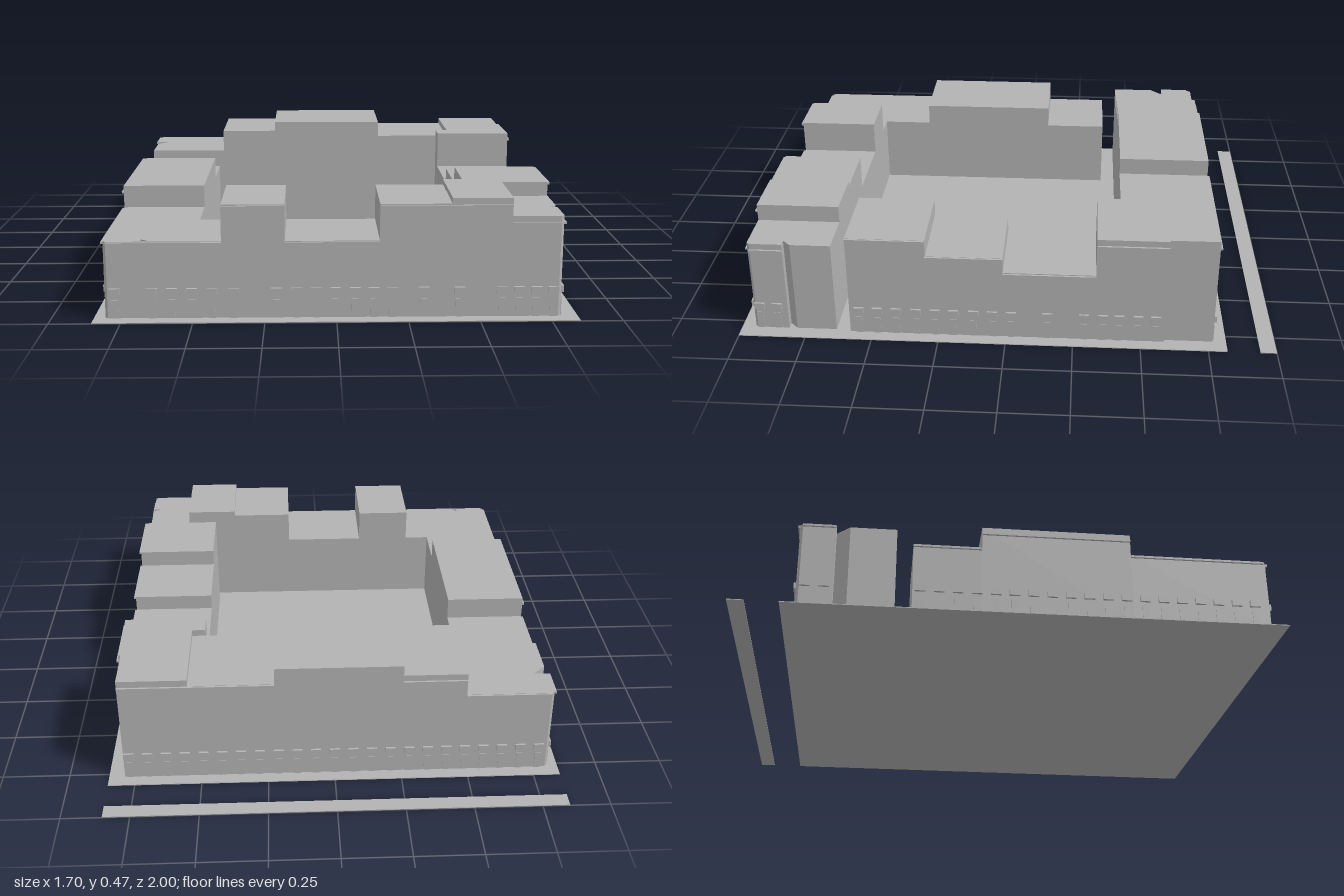
import * as THREE from 'three';

export function createModel() {
  const model = new THREE.Group();
  const stone = new THREE.MeshStandardMaterial({ color: 0xb2b2b2 });
  stone.name = 'grey stone';

  // Box given by its extents
  function box(parent, name, x0, x1, y0, y1, z0, z1) {
    const m = new THREE.Mesh(new THREE.BoxGeometry(x1 - x0, y1 - y0, z1 - z0), stone);
    m.position.set((x0 + x1) / 2, (y0 + y1) / 2, (z0 + z1) / 2);
    m.name = name;
    parent.add(m);
  }

  // Upright block from a plan outline of [x, z] points
  function block(name, plan, height, hole) {
    const toPoints = (list) => list.map(([x, z]) => new THREE.Vector2(x, -z));
    const shape = new THREE.Shape(toPoints(plan));
    if (hole) shape.holes.push(new THREE.Path(toPoints(hole)));
    const g = new THREE.ExtrudeGeometry(shape, { depth: height, bevelEnabled: false });
    g.rotateX(-Math.PI / 2);
    const m = new THREE.Mesh(g, stone);
    m.name = name;
    model.add(m);
  }
  const rect = (x0, x1, z0, z1) => [[x0, z0], [x0, z1], [x1, z1], [x1, z0]];

  // Pavement and the separate kerb behind it
  box(model, 'pavement', -0.85, 0.85, 0, 0.003, -0.82, 1);
  box(model, 'rearKerb', -0.85, 0.85, 0, 0.003, -1, -0.94);

  // Front row
  block('frontCornerHouse', [[-0.81, 0.44], [-0.81, 0.94], [-0.8, 0.95], [-0.4, 0.95],
    [-0.4, 0.64], [-0.5, 0.64], [-0.5, 0.44]], 0.28,
  [[-0.68, 0.92], [-0.68, 0.945], [-0.655, 0.94]]);
  block('frontHouse', rect(-0.4, -0.18, 0.64, 0.95), 0.41);
  block('frontHouse', rect(-0.18, 0.15, 0.64, 0.95), 0.28);
  block('frontHouse', rect(0.15, 0.4, 0.64, 0.95), 0.41);
  block('frontHouse', rect(0.4, 0.61, 0.64, 0.95), 0.43);
  block('frontNotchedHouse', [[0.61, 0.64], [0.61, 0.95], [0.78, 0.95], [0.79, 0.94],
    [0.79, 0.82], [0.76, 0.82], [0.79, 0.79], [0.79, 0.64]], 0.365);

  // Wing on the +x side
  block('sideHouse', rect(0.485, 0.8, 0.293, 0.585), 0.405);
  block('sideHouse', rect(0.485, 0.8, 0.01, 0.293), 0.34);
  block('sideHouse', rect(0.485, 0.8, -0.33, 0.01), 0.28);
  block('rearCornerHouse', [[0.535, -0.77], [0.535, -0.42], [0.485, -0.42], [0.485, -0.33],
    [0.8, -0.33], [0.8, -0.59], [0.79, -0.59], [0.79, -0.77]], 0.43);

  // Back row
  block('rearHouse', rect(0.22, 0.535, -0.77, -0.42), 0.405);
  block('rearTallHouse', rect(-0.25, 0.22, -0.77, -0.42), 0.47);
  block('rearHouse', rect(-0.485, -0.25, -0.77, -0.42), 0.43);
  block('rearNotchedHouse', [[-0.485, -0.77], [-0.8, -0.77], [-0.81, -0.76], [-0.81, -0.64],
    [-0.755, -0.64], [-0.805, -0.59], [-0.805, -0.42], [-0.485, -0.42]], 0.34);

  // Wing on the -x side
  block('sideHouse', rect(-0.81, -0.5, -0.36, -0.11), 0.28);
  block('sideHouse', rect(-0.81, -0.5, -0.11, 0.44), 0.365);

  // Part fixed to an outer wall: side, span along it, heights, and depth
  const walls = { front: 0.95, back: -0.77, left: 0.8, right: -0.81 };
  function fixture(parent, name, side, a, b, y0, y1, depth, wall = walls[side]) {
    const out = wall > 0 ? wall + depth : wall - depth;
    const lo = Math.min(wall, out), hi = Math.max(wall, out);
    if (side === 'front' || side === 'back') box(parent, name, a, b, y0, y1, lo, hi);
    else box(parent, name, lo, hi, y0, y1, a, b);
  }

  // Cornices below the roofs
  const cornices = new THREE.Group();
  cornices.name = 'cornices';
  model.add(cornices);
  [
    ['front', -0.8, -0.4, 0.273], ['front', -0.4, -0.18, 0.402], ['front', -0.18, 0.15, 0.273],
    ['front', 0.15, 0.61, 0.402], ['front', 0.61, 0.78, 0.338],
    ['left', 0.82, 0.945, 0.338, 0.79], ['left', 0.295, 0.585, 0.4], ['left', 0.01, 0.295, 0.335],
    ['left', -0.33, 0.01, 0.273], ['left', -0.59, -0.33, 0.402],
    ['back', 0.22, 0.79, 0.4], ['back', -0.485, -0.25, 0.402], ['back', -0.8, -0.485, 0.335],
    ['right', -0.76, -0.64, 0.335], ['right', -0.36, -0.11, 0.273],
    ['right', -0.11, 0.44, 0.338], ['right', 0.44, 0.94, 0.273],
  ].forEach(([side, a, b, y, wall]) => fixture(cornices, 'cornice', side, a, b, y - 0.004, y + 0.004, 0.008, wall));

  // Shop signs, each with a thin door panel beneath
  const shops = new THREE.Group();
  shops.name = 'shopFronts';
  model.add(shops);
  function shop(side, at, wall) {
    fixture(shops, 'sign', side, at - 0.019, at + 0.019, 0.088, 0.112, 0.009, wall);
    fixture(shops, 'door', side, at - 0.012, at + 0.012, 0.003, 0.07, 0.003, wall);
  }
  [-0.775, -0.645, -0.575, -0.505, -0.435, -0.36, -0.21, -0.14, -0.07, -0.005, 0.065, 0.13, 0.195,
    0.305, 0.43, 0.58, 0.64, 0.7, 0.76].forEach((x) => shop('front', x));
  [0.55, 0.48, 0.41, 0.335, 0.265, 0.195, 0.12, 0.05, -0.02, -0.155, -0.29, -0.36, -0.42,
    -0.49, -0.555].forEach((z) => shop('left', z));
  [0.925, 0.86].forEach((z) => shop('left', z, 0.79));
  for (let i = 0; i < 23; i++) shop('back', -0.77 + i * 0.07);
  for (let i = 0; i < 25; i++) {
    const z = -0.74 + i * 0.068;
    if (z < -0.66 || z > -0.34) shop('right', z);
  }
  return model;
}
